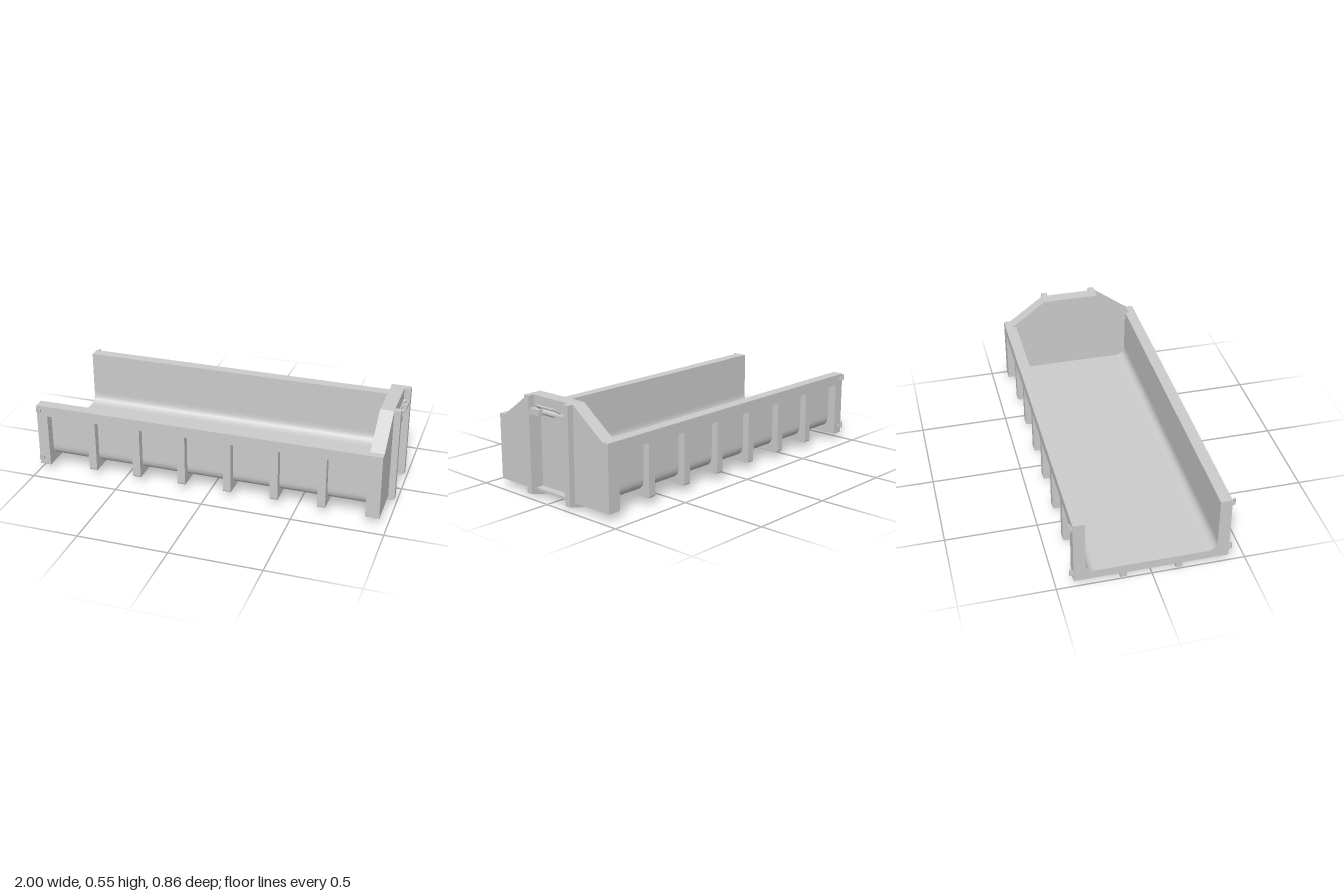
import * as THREE from 'three';

const material = new THREE.MeshStandardMaterial({ color: 0xcccccc, side: THREE.DoubleSide });

export function createModel() {
  const group = new THREE.Group();

  const add = (name, geometry) => {
    const mesh = new THREE.Mesh(geometry, material);
    mesh.name = name;
    group.add(mesh);
    return mesh;
  };

  // Box given by its limits on each axis
  const box = (name, x0, x1, y0, y1, z0, z1) => {
    const g = new THREE.BoxGeometry(x1 - x0, y1 - y0, Math.abs(z1 - z0));
    return add(name, g.translate((x0 + x1) / 2, (y0 + y1) / 2, (z0 + z1) / 2));
  };

  const polygon = (points) => new THREE.Shape(points.map(([a, b]) => new THREE.Vector2(a, b)));

  // Cross-section in the (-z, y) plane, extruded from x0 to x1
  const alongX = (name, shape, x0, x1) => {
    const g = new THREE.ExtrudeGeometry(shape, { depth: x1 - x0, bevelEnabled: false, curveSegments: 8 });
    return add(name, g.rotateY(Math.PI / 2).translate(x0, 0, 0));
  };

  // U-shaped section: outer half width and bottom, inner half width and floor, radii of both corners
  const uSection = (zo, yo, ro, zi, yi, ri, top) => {
    const s = new THREE.Shape();
    s.moveTo(-zo, top);
    s.lineTo(-zo, yo + ro);
    s.quadraticCurveTo(-zo, yo, -zo + ro, yo);
    s.lineTo(zo - ro, yo);
    s.quadraticCurveTo(zo, yo, zo, yo + ro);
    s.lineTo(zo, top);
    s.lineTo(zi, top);
    s.lineTo(zi, yi + ri);
    s.quadraticCurveTo(zi, yi, zi - ri, yi);
    s.lineTo(-zi + ri, yi);
    s.quadraticCurveTo(-zi, yi, -zi, yi + ri);
    s.lineTo(-zi, top);
    s.closePath();
    return s;
  };

  // Trough, open at one end
  alongX('trough', uSection(0.36, 0.07, 0.07, 0.347, 0.083, 0.06, 0.36), -0.995, 0.9);

  // Outer ribs and the heavier frame around the open end
  const ribSection = uSection(0.4, 0.04, 0.012, 0.355, 0.076, 0.065, 0.35);
  for (let i = 0; i < 6; i++) {
    const x = -0.675 + i * 0.263;
    alongX('rib', ribSection, x - 0.022, x + 0.022);
  }
  alongX('openEndFrame', uSection(0.41, 0.035, 0.004, 0.347, 0.083, 0.06, 0.345), -0.998, -0.935);

  // End wall: rim on the inside, recessed sheet behind it
  const outline = [[-0.41, 0.037], [0.41, 0.037], [0.41, 0.4], [0.37, 0.4], [0.165, 0.55],
    [-0.165, 0.55], [-0.37, 0.4], [-0.41, 0.4]];
  const rim = polygon(outline);
  rim.holes.push(polygon([[-0.347, 0.083], [-0.347, 0.355], [-0.145, 0.5],
    [0.145, 0.5], [0.347, 0.355], [0.347, 0.083]]));
  alongX('endRim', rim, 0.88, 0.9);
  alongX('endSheet', polygon(outline), 0.9, 0.912);
  box('endTopBeam', 0.912, 0.955, 0.485, 0.55, -0.13, 0.13);
  box('endSill', 0.912, 0.955, 0.037, 0.05, -0.13, 0.13);

  for (const s of [-1, 1]) {
    // Rails along the top of the sides
    box('sideRail', -0.998, 0.88, 0.34, 0.4, s * 0.347, s * 0.41);

    // Wings of the end wall
    alongX('endWing', polygon([[s * 0.165, 0.037], [s * 0.41, 0.037], [s * 0.41, 0.4],
      [s * 0.37, 0.4], [s * 0.165, 0.55]]), 0.912, 0.955);

    // Runner and post in one L-shaped profile
    const runner = polygon([[-0.99, 0], [0.9, 0], [0.99, 0.022], [0.99, 0.55],
      [0.912, 0.55], [0.912, 0.072], [-0.99, 0.072]]);
    const g = new THREE.ExtrudeGeometry(runner, { depth: 0.035, bevelEnabled: false });
    add('runnerAndPost', g.translate(0, 0, s * 0.1475 - 0.0175));

    // Lintel arms beside the lifting bar
    box('lintelArm', 0.912, 0.985, 0.452, 0.485, s * 0.06, s * 0.13);

    // Hinge brackets with upright pins
    for (const y of [0.07, 0.365]) {
      box('hingeBracket', -0.995, -0.97, y, y + 0.018, s * 0.405, s * 0.422);
      const pin = new THREE.CylinderGeometry(0.007, 0.007, 0.036, 12);
      add('hingePin', pin.translate(-0.985, y + 0.017, s * 0.423));
    }
  }

  // Lifting bar set back in the gap of the lintel
  const bar = new THREE.CylinderGeometry(0.0165, 0.0165, 0.12, 20).rotateX(Math.PI / 2);
  add('liftingBar', bar.translate(0.945, 0.4685, 0));

  // Tilted pull loop in front of the top beam
  const loop = new THREE.CurvePath();
  const corners = [[0.957, 0.488, 0.075], [0.993, 0.512, 0.066], [0.993, 0.512, -0.066], [0.957, 0.488, -0.075]]
    .map((p) => new THREE.Vector3(...p));
  for (let i = 0; i < 3; i++) loop.add(new THREE.LineCurve3(corners[i], corners[i + 1]));
  add('pullLoop', new THREE.TubeGeometry(loop, 60, 0.006, 8));

  return group;
}
